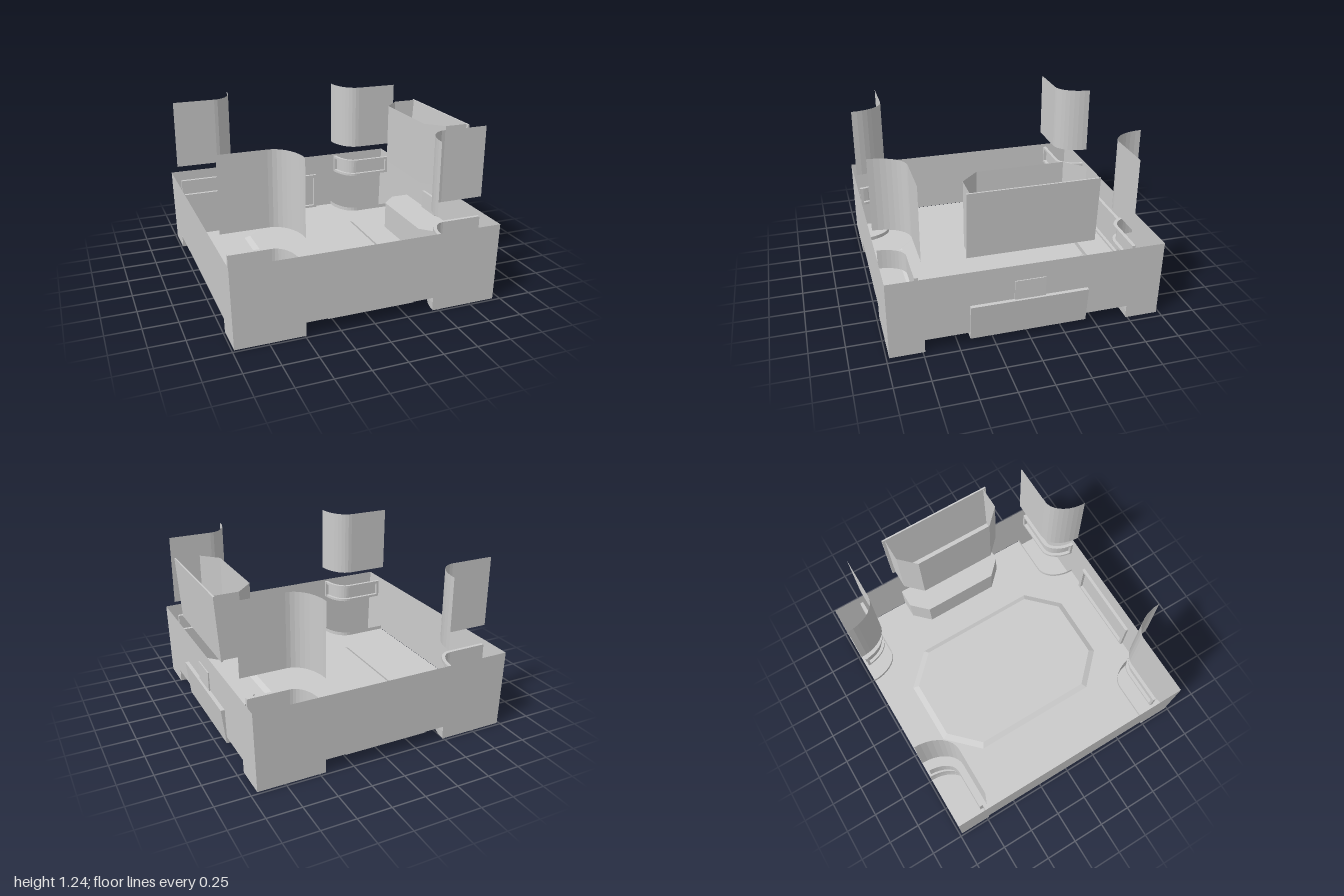
import * as THREE from 'three';

const CX = -0.018, HX = 0.967, HZ = 0.98, TOP = 0.585, FLOOR = 0.1;
const mat = new THREE.MeshStandardMaterial({ color: 0xcccccc, flatShading: true, side: THREE.DoubleSide });
const V = (x, y, z) => new THREE.Vector3(x, y, z);

function add(parent, name, geometry) {
  const mesh = new THREE.Mesh(geometry, mat);
  mesh.name = name;
  parent.add(mesh);
  return mesh;
}

// Sheet running through successive rows of points
function loft(rows, closed = false) {
  const pos = [], n = rows[0].length;
  for (let r = 0; r < rows.length - 1; r++) {
    for (let i = 0; i < (closed ? n : n - 1); i++) {
      const j = (i + 1) % n, a = rows[r][i], b = rows[r][j], c = rows[r + 1][j], d = rows[r + 1][i];
      for (const p of [a, b, c, a, c, d]) pos.push(p.x, p.y, p.z);
    }
  }
  const g = new THREE.BufferGeometry();
  g.setAttribute('position', new THREE.Float32BufferAttribute(pos, 3));
  g.computeVertexNormals();
  return g;
}

// Flat horizontal sheet from a plan outline
function plate(points, y, hole) {
  const shape = new THREE.Shape(points.map(p => new THREE.Vector2(p.x, p.z)));
  if (hole) shape.holes.push(new THREE.Path(hole.map(p => new THREE.Vector2(p.x, p.z))));
  return new THREE.ShapeGeometry(shape).rotateX(Math.PI / 2).translate(0, y, 0);
}

// Straight run and rounded end bounding one corner pocket
function cornerCurve(sx, sz, inset, y, start = 0, end = 0) {
  const local = [[start, 0.245 - inset]];
  for (let i = 0; i <= 9; i++) {
    const t = (i / 9) * (Math.PI / 2 - end);
    local.push([0.33 + (0.165 - inset) * Math.sin(t), (0.245 - inset) * Math.cos(t)]);
  }
  return local.map(([a, b]) => V(CX + sx * (HX - a), y, sz * (HZ - b)));
}

// Rectangular bar following the corner curve
function cornerBar(sx, sz, in0, in1, y0, y1) {
  const c = (i, y) => cornerCurve(sx, sz, i, y, 0.03, 0.08);
  return loft([c(in0, y0), c(in0, y1), c(in1, y1), c(in1, y0), c(in0, y0)]);
}

// Wall outline with the gap between the feet cut out
function wallShape(half, gap) {
  return new THREE.Shape([[-half, 0], [-gap, 0], [-gap, FLOOR], [gap, FLOOR], [gap, 0],
    [half, 0], [half, TOP], [-half, TOP]].map(p => new THREE.Vector2(...p)));
}

function chamferedRect(hx, hz, c, y) {
  return [[hx, -hz + c], [hx, hz - c], [hx - c, hz], [-hx + c, hz], [-hx, hz - c],
    [-hx, -hz + c], [-hx + c, -hz], [hx - c, -hz]].map(([x, z]) => V(CX + x, y, z));
}

// Half-octagon plan shared by the side bin and its housing
const binPlan = (y, outer) => [[outer, 0.42], [0.81, 0.42], [0.69, 0.3], [0.69, -0.3],
  [0.81, -0.42], [outer, -0.42]].map(([x, z]) => V(x, y, z));

export function createModel() {
  const model = new THREE.Group();
  model.name = 'trayWithLiners';

  // Tray walls, with the sides leaning out slightly
  const flare = y => 0.013 * y / TOP;
  for (const s of [-1, 1]) {
    const end = new THREE.ShapeGeometry(wallShape(HX, HX - 0.495));
    const ep = end.attributes.position;
    for (let i = 0; i < ep.count; i++) {
      const x = ep.getX(i), y = ep.getY(i);
      const edge = Math.abs(x) > 0.9 ? Math.sign(x) * flare(y) : 0;
      ep.setXYZ(i, CX + x + edge, y, s * HZ);
    }
    end.computeVertexNormals();
    add(model, s > 0 ? 'frontWall' : 'backWall', end);

    const side = new THREE.ShapeGeometry(wallShape(HZ, HZ - 0.245));
    const sp = side.attributes.position;
    for (let i = 0; i < sp.count; i++) {
      const z = sp.getX(i), y = sp.getY(i);
      sp.setXYZ(i, CX + s * (HX + flare(y)), y, z);
    }
    side.computeVertexNormals();
    add(model, s > 0 ? 'leftWall' : 'rightWall', side);
  }

  // Floor with rounded corner openings and a raised chamfered centre
  const outline = [
    ...cornerCurve(1, 1, 0, 0), ...cornerCurve(-1, 1, 0, 0).reverse(),
    ...cornerCurve(-1, -1, 0, 0), ...cornerCurve(1, -1, 0, 0).reverse()];
  const octOuter = chamferedRect(0.49, 0.735, 0.235, FLOOR);
  const octInner = chamferedRect(0.45, 0.69, 0.215, FLOOR + 0.025);
  add(model, 'floor', plate(outline, FLOOR, octOuter));
  add(model, 'floorStep', loft([octOuter, octInner], true));
  add(model, 'floorCentre', plate(octInner, FLOOR + 0.025));

  // Four corners: foot pocket, upper frame and lifted liner
  for (const sx of [-1, 1]) for (const sz of [-1, 1]) {
    const corner = new THREE.Group();
    corner.name = 'corner';
    model.add(corner);
    const foot = cornerCurve(sx, sz, 0.005, 0);
    add(corner, 'footWall', loft([cornerCurve(sx, sz, 0, 0.13), cornerCurve(sx, sz, 0, 0.06), foot]));
    add(corner, 'footBase', plate([...foot, V(CX + sx * HX, 0, sz * HZ)], 0));
    add(corner, 'framePanel', loft([cornerCurve(sx, sz, 0.045, 0.43, 0.03, 0.08),
      cornerCurve(sx, sz, 0.045, 0.575, 0.03, 0.08)]));
    add(corner, 'frameTop', cornerBar(sx, sz, 0.02, 0.045, 0.555, 0.575));
    add(corner, 'frameBottom', cornerBar(sx, sz, 0.02, 0.045, 0.43, 0.45));
    for (const [a, b, w, d] of [[0.04, 0.2125, 0.02, 0.025], [0.462, 0.03, 0.025, 0.02]]) {
      const post = add(corner, 'framePost', new THREE.BoxGeometry(w, 0.145, d));
      post.position.set(CX + sx * (HX - a), 0.5025, sz * (HZ - b));
    }
    add(corner, 'liner', loft([cornerCurve(sx, sz, 0, 0.71), cornerCurve(sx, sz, 0, 1.24)]));
  }

  // Raised frames on the inner faces of the end walls
  for (const s of [-1, 1]) {
    const frame = new THREE.Group();
    frame.name = 'wallFrame';
    model.add(frame);
    for (const [x, y, w, h] of [[0, 0.4, 0.64, 0.025], [0, 0.107, 0.64, 0.025],
      [-0.31, 0.25, 0.025, 0.3], [0.31, 0.25, 0.025, 0.3]]) {
      const bar = add(frame, 'frameBar', new THREE.BoxGeometry(w, h, 0.024));
      bar.position.set(CX + x, y, s * (HZ - 0.012));
    }
  }

  // Housing for the side bin, with an outward leaning face
  const low = binPlan(0.05, 0.955), high = binPlan(0.32, 0.985);
  add(model, 'binHousing', loft([low, high], true));
  add(model, 'housingBase', plate(low, 0.05));
  add(model, 'housingTop', plate(high, 0.32));
  add(model, 'clip', new THREE.BoxGeometry(0.03, 0.145, 0.22)).position.set(0.952, 0.392, 0);

  // Lifted open bin with a wider outer panel
  const bin = new THREE.Group();
  bin.name = 'sideBin';
  model.add(bin);
  const base = binPlan(0.7, 0.955);
  add(bin, 'binWalls', loft([base, binPlan(1.17, 0.985)]));
  add(bin, 'binBase', plate(base, 0.7));
  const panel = (y, x) => [V(x, y, 0.443), V(x + 0.012, y, 0.443), V(x + 0.012, y, -0.443), V(x, y, -0.443)];
  const p0 = panel(0.7, 0.955), p1 = panel(1.17, 0.985);
  add(bin, 'binPanel', loft([p0, p1], true));
  add(bin, 'panelLowerEdge', plate(p0, 0.7));
  add(bin, 'panelUpperEdge', plate(p1, 1.17));

  return model;
}
